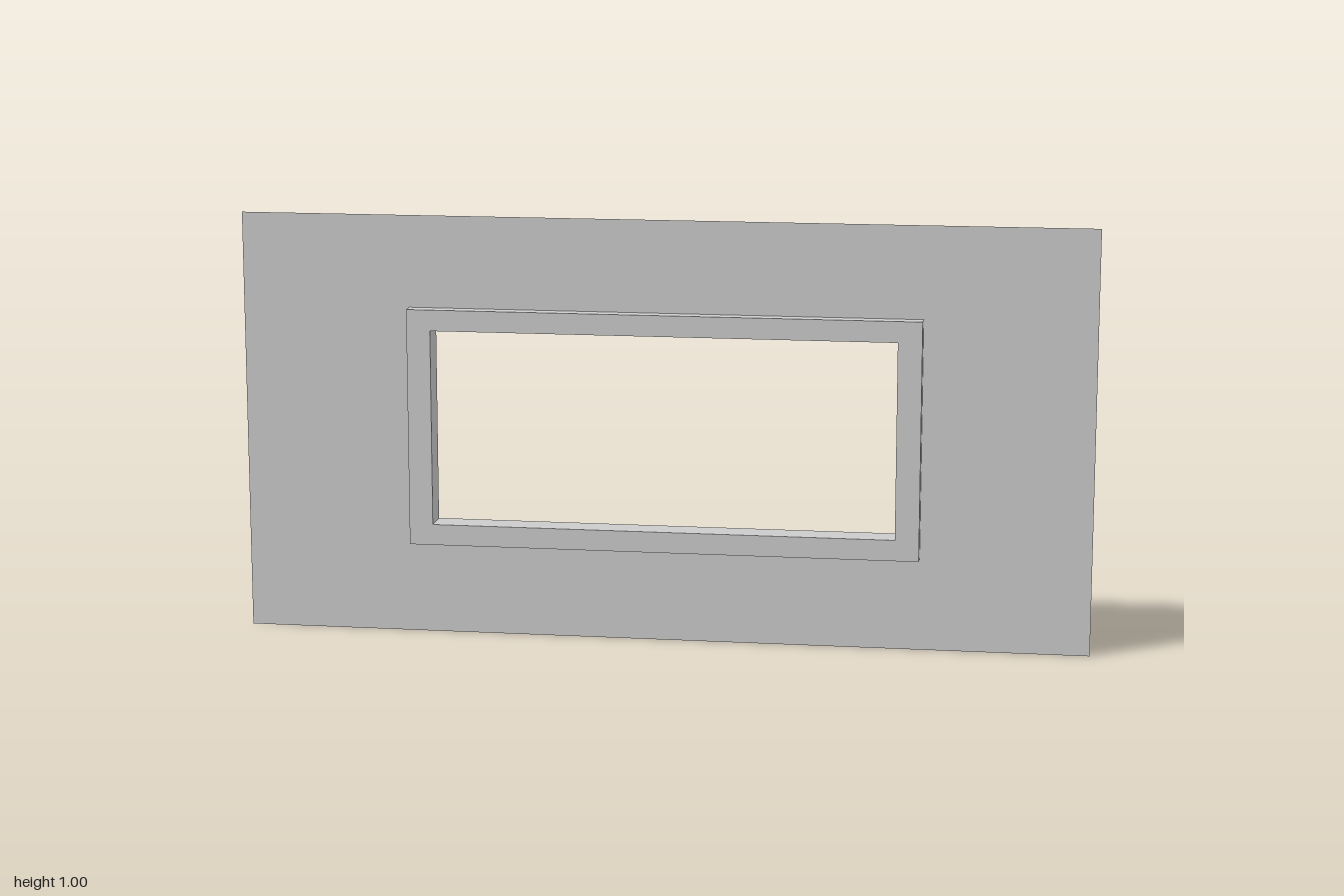
import * as THREE from 'three';

const CENTER_Y = 0.501;

// Adds a rectangle of the given size, centred on (0, y), to a shape or path
function rect(target, width, height, y) {
  const x = width / 2, h = height / 2;
  target.moveTo(-x, y - h);
  target.lineTo(x, y - h);
  target.lineTo(x, y + h);
  target.lineTo(-x, y + h);
  target.closePath();
  return target;
}

// Rectangle with a rectangular opening
function pierced(width, height, y, holeWidth, holeHeight) {
  const shape = rect(new THREE.Shape(), width, height, y);
  shape.holes.push(rect(new THREE.Path(), holeWidth, holeHeight, CENTER_Y));
  return shape;
}

export function createModel() {
  const group = new THREE.Group();
  group.name = 'wallWithWindowFrame';

  // Paper-thin wall, its opening hidden inside the frame
  const wall = new THREE.Mesh(
    new THREE.ShapeGeometry(pierced(2, 1, 0.5, 1.15, 0.515)),
    new THREE.MeshStandardMaterial({ color: 0xcccccc, side: THREE.DoubleSide })
  );
  wall.name = 'wall';

  // Window frame standing out equally on both sides of the wall
  const depth = 0.068;
  const frameGeometry = new THREE.ExtrudeGeometry(
    pierced(1.204, 0.563, CENTER_Y, 1.092, 0.464),
    { depth, bevelEnabled: false }
  );
  frameGeometry.translate(0, 0, -depth / 2);
  const frame = new THREE.Mesh(
    frameGeometry,
    new THREE.MeshStandardMaterial({ color: 0xcccccc })
  );
  frame.name = 'windowFrame';

  group.add(wall, frame);
  return group;
}
